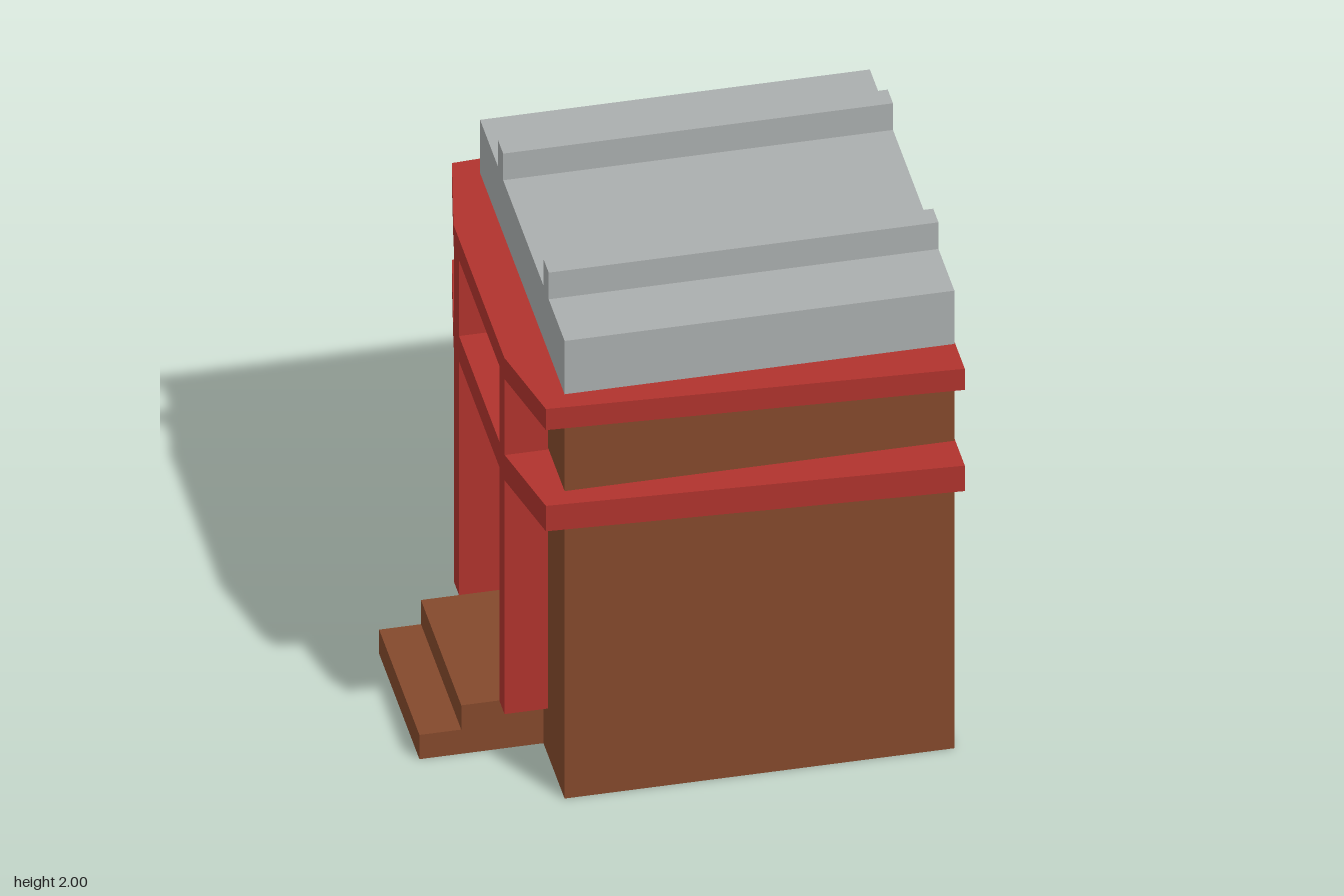
import * as THREE from 'three';

export function createModel() {
  const model = new THREE.Group();
  const mat = (name, color) => {
    const m = new THREE.MeshStandardMaterial({ color, side: THREE.DoubleSide });
    m.name = name;
    return m;
  };
  const brown = mat('brown wood', 0x84492c);
  const red = mat('red paint', 0xb0332d);
  const grey = mat('grey stone', 0xaaaeae);

  const add = (name, geometry, material) => {
    const mesh = new THREE.Mesh(geometry, material);
    mesh.name = name;
    model.add(mesh);
    return mesh;
  };
  // Box given by its extents
  const box = (name, material, x0, x1, y0, y1, z0, z1) => {
    const g = new THREE.BoxGeometry(x1 - x0, y1 - y0, z1 - z0);
    g.translate((x0 + x1) / 2, (y0 + y1) / 2, (z0 + z1) / 2);
    return add(name, g, material);
  };
  // Thin rectangular sheet, from corners a, b, c, d anticlockwise as seen from outside
  const sheet = (name, material, a, b, c, d) => {
    const g = new THREE.BufferGeometry();
    g.setAttribute('position', new THREE.Float32BufferAttribute([a, b, c, a, c, d].flat(), 3));
    g.computeVertexNormals();
    return add(name, g, material);
  };
  // Sheet facing along x (dir = 1 or -1)
  const sheetX = (name, material, x, y0, y1, z0, z1, dir) => {
    const [p, q] = dir > 0 ? [z1, z0] : [z0, z1];
    return sheet(name, material, [x, y0, p], [x, y0, q], [x, y1, q], [x, y1, p]);
  };
  // Sheet facing along z
  const sheetZ = (name, material, z, x0, x1, y0, y1, dir) => {
    const [p, q] = dir > 0 ? [x0, x1] : [x1, x0];
    return sheet(name, material, [p, y0, z], [q, y0, z], [q, y1, z], [p, y1, z]);
  };
  // Upward facing sheet
  const sheetY = (name, material, y, x0, x1, z0, z1) =>
    sheet(name, material, [x0, y, z1], [x1, y, z1], [x1, y, z0], [x0, y, z0]);

  const X0 = -0.46, X1 = 0.882, Z = 0.655, TOP = 1.67;
  const doorX = -0.39, doorZ0 = -0.297, doorZ1 = 0.327;

  // Hollow body, open below, with a doorway on the step side
  sheetZ('leftWall', brown, Z, X0, X1, 0, TOP, 1);
  sheetZ('rightWall', brown, -Z, X0, X1, 0, TOP, -1);
  sheetX('rearWall', brown, X1, 0, TOP, -Z, Z, 1);
  sheetX('doorWall', brown, X0, 0, TOP, -Z, doorZ0, -1);
  sheetX('doorWall', brown, X0, 0, TOP, doorZ1, Z, -1);

  // Recessed door, with a closed recess above it
  sheetX('door', grey, doorX, 0.2, 1.17, doorZ0, doorZ1, -1);
  sheetX('recessBack', brown, doorX, 1.26, 1.6, doorZ0, doorZ1, -1);
  sheetZ('doorJamb', red, doorZ0, X0, doorX, 0.2, 1.6, 1);
  sheetZ('doorJamb', red, doorZ1, X0, doorX, 0.2, 1.6, -1);

  // Pillars, rear strips and roof ridges share the same two lines
  for (const [z0, z1] of [[-0.378, doorZ0], [doorZ1, 0.408]]) {
    box('pillar', red, -0.612, X0 - 0.002, 0.2, 1.6, z0, z1);
    sheetX('rearStrip', red, X1 + 0.003, 0, 1.6, z0, z1, 1);
    box('roofRidge', grey, X0, X1, 1.88, 2, z0, z1);
  }

  // Red cornice bands
  const outline = [[-0.54, -0.732], [0.885, -0.808], [0.885, 0.803],
    [-0.54, 0.725], [-0.612, 0.405], [-0.612, -0.382]];
  const bandShape = new THREE.Shape(outline.map(([x, z]) => new THREE.Vector2(x, -z)));
  for (const [y0, y1] of [[1.165, 1.27], [1.583, TOP]]) {
    const g = new THREE.ExtrudeGeometry(bandShape, { depth: y1 - y0, bevelEnabled: false });
    g.rotateX(-Math.PI / 2);
    g.translate(0, y0, 0);
    add('corniceBand', g, red);
  }

  // Roof slab
  box('roofSlab', grey, X0, X1, TOP, 1.89, -Z, Z);

  // Hollow steps, open below
  for (const [x0, x1, y, riser] of [[-0.887, -0.743, 0.1, 0], [-0.743, doorX, 0.2, 0.1]]) {
    sheetY('stepTread', brown, y, x0, x1, doorZ0, doorZ1);
    sheetX('stepRiser', brown, x0, riser, y, doorZ0, doorZ1, -1);
    sheetZ('stepSide', brown, doorZ0, x0, Math.min(x1, X0), 0, y, -1);
    sheetZ('stepSide', brown, doorZ1, x0, Math.min(x1, X0), 0, y, 1);
  }

  return model;
}
